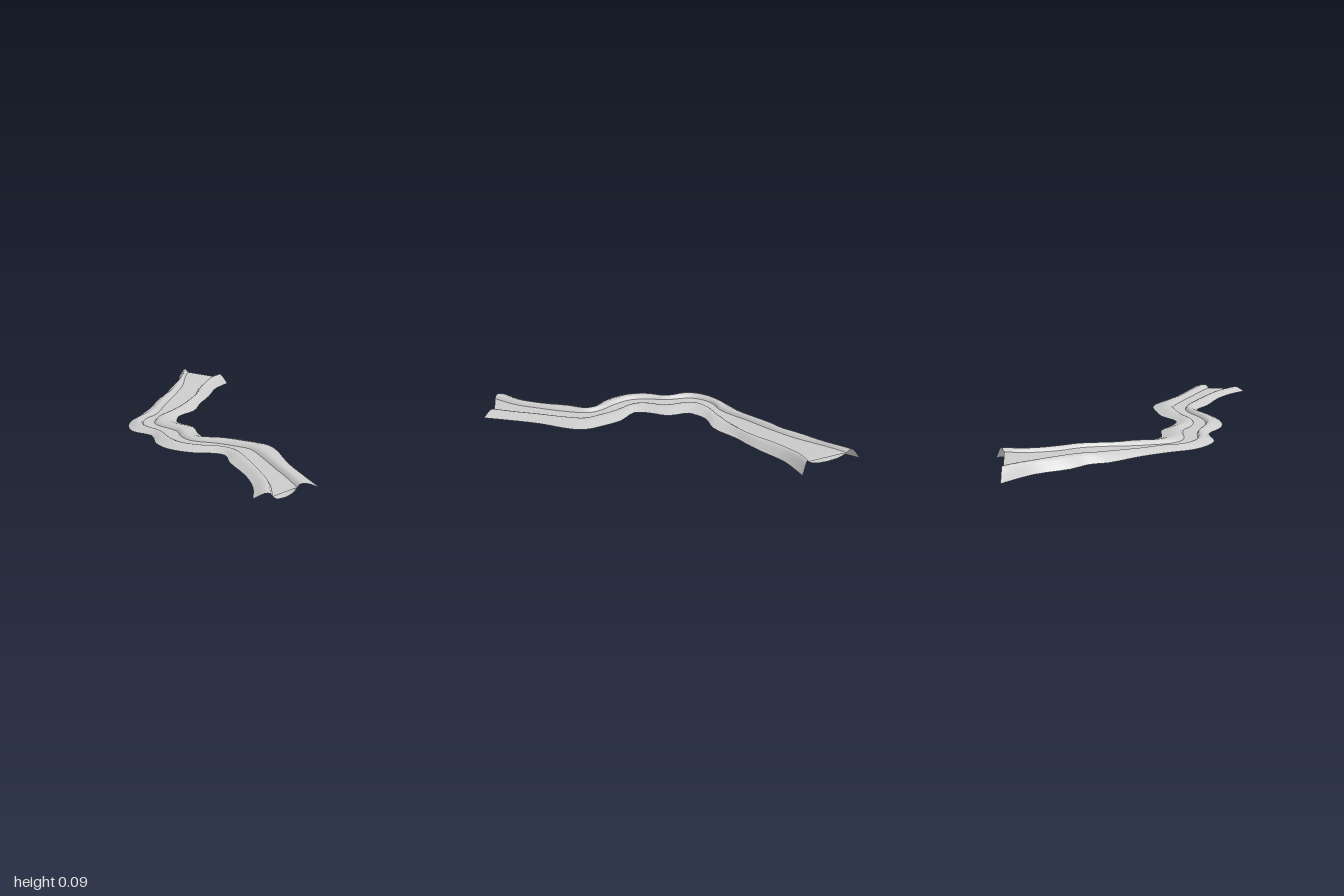
import * as THREE from 'three';

// Plan rails in hundredths (x, z), from the front end to the back end.
const RAILS = {
  rightEdge: [-62.6, 89.3, -53.6, 80.3, -45.7, 67.1, -39.4, 49.1, -34.1, 39.6, -36.2, 33.8, -43.6, 25.9,
    -49.4, 13.2, -48.9, 1.6, -42.8, -10.3, -46.2, -22.7, -42.5, -32.2, -35.1, -39.6, -24.6, -44.9,
    -10.3, -53.4, 4.5, -65, 13.5, -68.7, 21.4, -76.6, 37.2, -86.1, 49.4, -100],
  rightShore: [-54.7, 94, -44.6, 81.9, -37.8, 68.7, -30.4, 52.3, -26.7, 39.6, -28.8, 31.2, -35.1, 22.7,
    -39.9, 12.2, -39.4, 1.6, -36.5, -9.5, -36.7, -23.8, -32.5, -31.7, -26.1, -36.5, -18.2, -38.6,
    -2.4, -49.7, 13.5, -59.7, 19.8, -63.9, 27.7, -69.7, 40.9, -82.9, 50.4, -91.4],
  leftShore: [-38.8, 94, -33, 80.8, -28.8, 69.7, -21.4, 51.2, -18.8, 41.7, -21.4, 33.3, -26.1, 22.7,
    -33, 11.1, -32.5, 2.6, -28.3, -6.9, -29.8, -22.7, -27.2, -28, -21.4, -32.2, -11.9, -35.4,
    6.1, -41.7, 21.4, -49.7, 30.4, -57.1, 38.8, -62.3, 47.8, -67.1, 56.3, -68.7],
  leftEdge: [-30.4, 100, -24.6, 84.5, -18.2, 68.7, -7.7, 49.1, -6.6, 40.7, -9.8, 30.6, -14, 21.1,
    -23, 12.2, -21.4, 3.7, -16.1, -6.9, -17.2, -19.5, -14.5, -23.2, -8.7, -28, 4, -30.1,
    17.7, -40.1, 25.6, -44.4, 34.6, -50.2, 46.2, -58.6, 54.7, -61.8, 62.1, -63.9],
};
const EDGE_Y = 0.022, CREST_Y = 0.045, WATER_Y = 0.026;
const STEPS = 57; // three per station

// Bank profile: fraction from outer edge to shore, height as a fraction of the crest
const BANK = [[0, 0], [0.2, 0.35], [0.42, 0.75], [0.6, 0.97], [0.75, 1], [0.9, 0.8]];
// Bed profile: fraction across the channel, height
const BED = [[0, WATER_Y], [0.1, 0.012], [0.25, 0.004], [0.5, 0], [0.75, 0.004], [0.9, 0.012], [1, WATER_Y]];

function railPoints(flat) {
  const pts = [];
  for (let i = 0; i < flat.length; i += 2) pts.push(new THREE.Vector3(flat[i] / 100, 0, flat[i + 1] / 100));
  return new THREE.CatmullRomCurve3(pts, false, 'centripetal').getPoints(STEPS);
}

// The course climbs towards the back end
const rise = (x) => 0.042 * THREE.MathUtils.clamp((x + 0.07) / 0.57, 0, 1);

// Skin a list of equal-length cross-sections
function loft(rows) {
  const n = rows[0].length, index = [];
  for (let i = 0; i < rows.length - 1; i++) {
    for (let j = 0; j < n - 1; j++) {
      const a = i * n + j, c = a + n;
      index.push(a, a + 1, c, a + 1, c + 1, c);
    }
  }
  const geo = new THREE.BufferGeometry().setFromPoints(rows.flat());
  geo.setIndex(index);
  geo.computeVertexNormals();
  return geo;
}

export function createModel() {
  const group = new THREE.Group();
  group.name = 'river';
  const material = new THREE.MeshStandardMaterial({ color: 0xcccccc, side: THREE.DoubleSide });
  const [re, rs, ls, le] = Object.values(RAILS).map(railPoints);

  const at = (p, q, t, y) => p.clone().lerp(q, t).setY(y);
  const landRows = [], waterRows = [];
  for (let i = 0; i <= STEPS; i++) {
    const up = rise((rs[i].x + ls[i].x) / 2);
    const bank = (edge, shore) => BANK.map(([t, h]) =>
      at(edge, shore, t, EDGE_Y + h * (CREST_Y + up - EDGE_Y)));
    const bed = BED.map(([t, y]) => at(rs[i], ls[i], t, y + up));
    landRows.push([...bank(re[i], rs[i]), ...bed, ...bank(le[i], ls[i]).reverse()]);
    waterRows.push([at(rs[i], ls[i], 0, WATER_Y + up), at(rs[i], ls[i], 1, WATER_Y + up)]);
  }

  // Both banks and the channel bed are one smooth skin
  const land = new THREE.Mesh(loft(landRows), material);
  land.name = 'banksAndBed';
  // Flat water sheet between the shores
  const water = new THREE.Mesh(loft(waterRows), material);
  water.name = 'waterSurface';
  group.add(land, water);
  return group;
}
